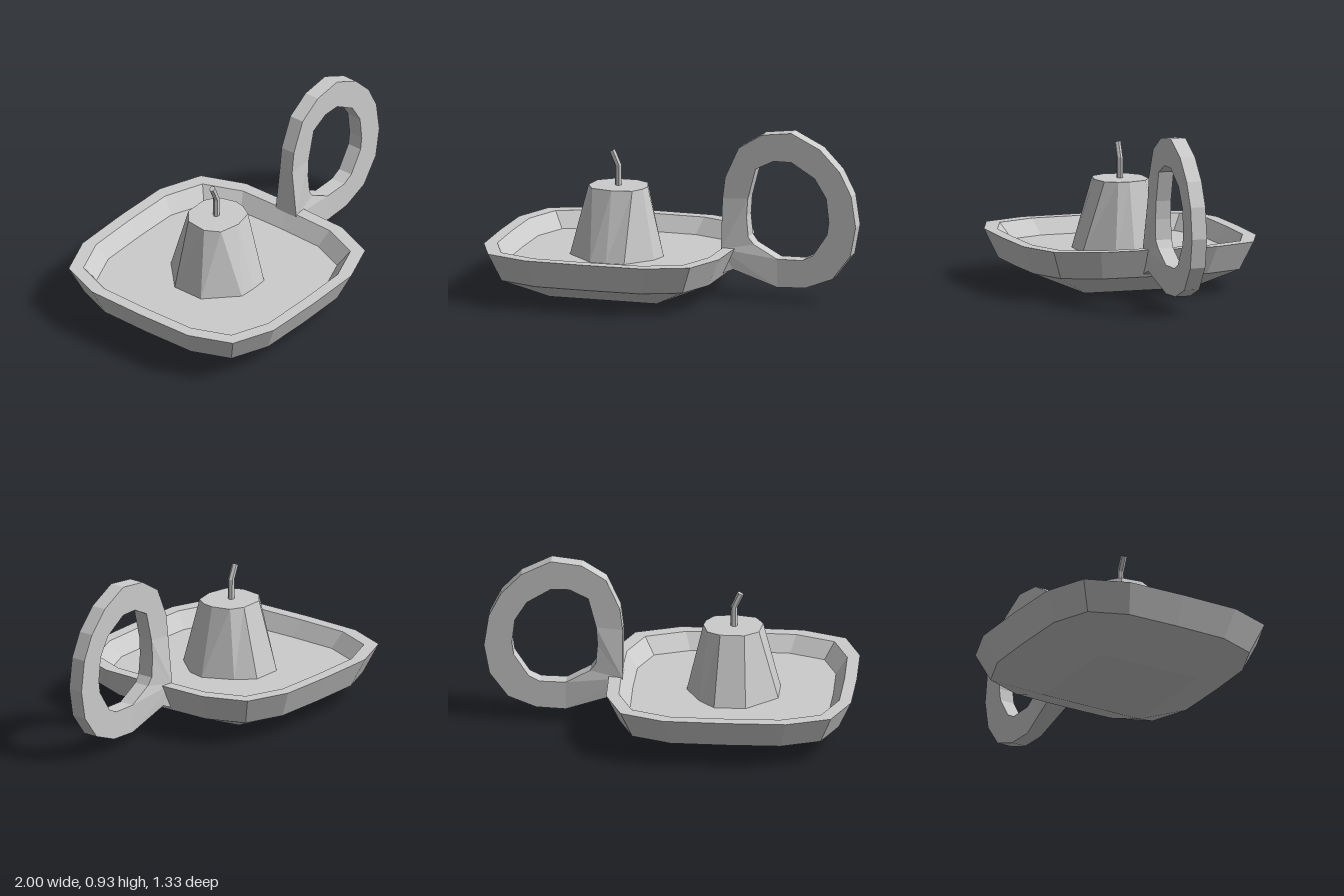
import * as THREE from 'three';

const material = new THREE.MeshStandardMaterial({ color: 0xcccccc, flatShading: true });
const CX = -0.335; // centre of the tray and candle

// Skin of stacked rings (each anticlockwise seen from above), closed at both ends.
function loft(rings) {
  const n = rings[0].length, index = [];
  for (let i = 0; i < rings.length - 1; i++) {
    for (let j = 0; j < n; j++) {
      const a = i * n + j, b = i * n + (j + 1) % n;
      index.push(a, b, b + n, a, b + n, a + n);
    }
  }
  const last = (rings.length - 1) * n;
  for (let j = 1; j < n - 1; j++) {
    index.push(0, j + 1, j);
    index.push(last, last + j, last + j + 1);
  }
  const g = new THREE.BufferGeometry();
  g.setAttribute('position', new THREE.Float32BufferAttribute(rings.flat(2), 3));
  g.setIndex(index);
  const flat = g.toNonIndexed();
  flat.computeVertexNormals();
  return flat;
}

function part(name, geometry) {
  const mesh = new THREE.Mesh(geometry, material);
  mesh.name = name;
  return mesh;
}

// Tray: a rounded square of 16 points on a square foot, with a flat rim and sunken floor.
function tray() {
  const outline = [];
  for (let q = 0; q < 4; q++) {
    for (let [x, z] of [[0.665, 0], [0.658, -0.33], [0.565, -0.565], [0.33, -0.658]]) {
      for (let k = 0; k < q; k++) [x, z] = [z, -x];
      outline.push([x, z]);
    }
  }
  const ring = (s, y) => outline.map(([x, z]) => [CX + x * s, y, z * s]);
  const clamp = v => THREE.MathUtils.clamp(v, -0.3, 0.3);
  const foot = outline.map(([x, z]) => [CX + clamp(x), 0, clamp(z)]);
  return loft([foot, ring(0.895, 0.12), ring(1, 0.275), ring(0.9, 0.275), ring(0.81, 0.19)]);
}

// Candle: slightly uneven tapered stump.
function candle() {
  const base = [[-0.25, 0.09], [-0.09, 0.245], [0, 0.25], [0.1, 0.245], [0.225, 0.1],
    [0.25, 0], [0.17, -0.16], [0.085, -0.25], [-0.085, -0.25], [-0.25, -0.09]];
  const top = [[-0.16, 0.04], [-0.115, 0.12], [0, 0.147], [0.11, 0.125], [0.15, 0.06],
    [0.16, 0], [0.13, -0.1], [0.06, -0.14], [-0.07, -0.14], [-0.145, -0.08]];
  const ring = (pts, y) => pts.map(([x, z]) => [CX + x, y, z]);
  return loft([ring(base, 0.185), ring(top, 0.567)]);
}

// Wick: bent hexagonal rod.
function wick() {
  const ring = (cx, cy, tilt) => Array.from({ length: 6 }, (_, i) => {
    const a = i * Math.PI / 3, x = 0.018 * Math.cos(a);
    return [cx + x * Math.cos(tilt), cy + x * Math.sin(tilt), -0.017 * Math.sin(a)];
  });
  return loft([ring(-0.34, 0.55, 0), ring(-0.34, 0.675, 0.2), ring(-0.375, 0.755, 0.45)]);
}

// Handle: flat faceted loop that flares in thickness where it grips the tray.
function handle() {
  const v = ([x, y]) => new THREE.Vector2(x, y);
  const shape = new THREE.Shape([[0.25, 0.13], [0.32, 0.16], [0.4, 0.13], [0.56, 0.073],
    [0.72, 0.08], [0.87, 0.138], [0.97, 0.27], [1, 0.43], [0.975, 0.6], [0.91, 0.73],
    [0.8, 0.845], [0.64, 0.925], [0.475, 0.905], [0.345, 0.825], [0.27, 0.66],
    [0.255, 0.54], [0.255, 0.27]].map(v));
  shape.holes.push(new THREE.Path([[0.39, 0.45], [0.397, 0.55], [0.44, 0.715], [0.54, 0.765],
    [0.64, 0.765], [0.77, 0.685], [0.835, 0.58], [0.85, 0.45], [0.84, 0.38], [0.76, 0.26],
    [0.7, 0.23], [0.56, 0.228], [0.43, 0.3], [0.4, 0.34]].map(v)));
  const g = new THREE.ExtrudeGeometry(shape, { depth: 0.084, bevelEnabled: false });
  g.translate(0, 0, -0.042);
  const p = g.attributes.position, clamp = t => THREE.MathUtils.clamp(t, 0, 1);
  for (let i = 0; i < p.count; i++) {
    const flare = clamp((0.43 - p.getX(i)) / 0.18) * clamp((0.5 - p.getY(i)) / 0.25);
    p.setZ(i, p.getZ(i) * (1 + 0.75 * flare));
  }
  g.computeVertexNormals();
  return g;
}

export function createModel() {
  const model = new THREE.Group();
  model.name = 'candleHolder';
  model.add(part('tray', tray()), part('candle', candle()), part('wick', wick()), part('handle', handle()));
  return model;
}
